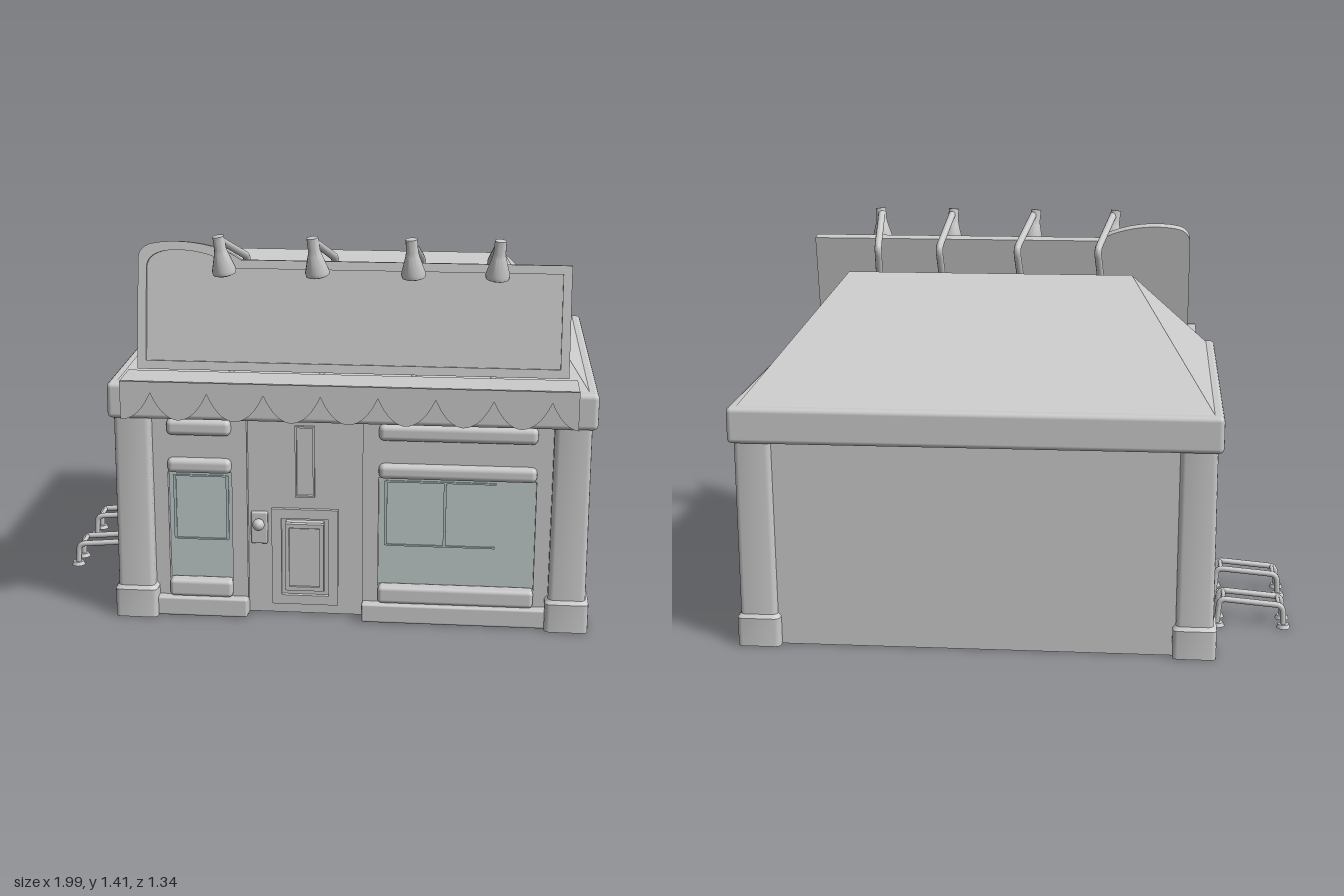
import * as THREE from 'three';
import { toCreasedNormals } from 'three/addons/utils/BufferGeometryUtils.js';
import { RoundedBoxGeometry } from 'three/addons/geometries/RoundedBoxGeometry.js';

const grey = new THREE.MeshStandardMaterial({ color: 0xcccccc });
const thin = new THREE.MeshStandardMaterial({ color: 0xcccccc, side: THREE.DoubleSide });
const glass = new THREE.MeshStandardMaterial({ color: 0xc2cccc });
const glint = new THREE.MeshStandardMaterial({ color: 0xaec2c2 });

function add(parent, name, geo, x = 0, y = 0, z = 0, mat = grey) {
  const m = new THREE.Mesh(geo, mat);
  m.name = name;
  m.position.set(x, y, z);
  parent.add(m);
  return m;
}

// box given by its limits; r > 0 rounds the edges
function box(parent, name, x0, x1, y0, y1, z0, z1, r = 0, mat = grey) {
  const s = [x1 - x0, y1 - y0, z1 - z0];
  const geo = r ? new RoundedBoxGeometry(...s, 2, r) : new THREE.BoxGeometry(...s);
  return add(parent, name, geo, (x0 + x1) / 2, (y0 + y1) / 2, (z0 + z1) / 2, mat);
}

// pipe through points, with rounded bends
function pipe(pts, radius, bend) {
  const v = pts.map(p => new THREE.Vector3(...p));
  const path = new THREE.CurvePath();
  let last = v[0];
  for (let i = 1; i < v.length - 1; i++) {
    const a = v[i].clone().add(v[i - 1].clone().sub(v[i]).setLength(bend));
    const b = v[i].clone().add(v[i + 1].clone().sub(v[i]).setLength(bend));
    path.add(new THREE.LineCurve3(last, a));
    path.add(new THREE.QuadraticBezierCurve3(a, v[i], b));
    last = b;
  }
  path.add(new THREE.LineCurve3(last, v[v.length - 1]));
  return new THREE.TubeGeometry(path, 48, radius, 10);
}

// open-ended square column with rounded corners; rings are [y, half width]
function column(rings, r) {
  const pos = [], idx = [], n = 16;
  for (const [y, h] of rings)
    for (let c = 0; c < 4; c++)
      for (let k = 0; k < 4; k++) {
        const t = (c + k / 3) * Math.PI / 2;
        const sx = c === 0 || c === 3 ? 1 : -1, sz = c < 2 ? 1 : -1;
        pos.push(sx * (h - r) + r * Math.cos(t), y, sz * (h - r) + r * Math.sin(t));
      }
  for (let j = 0; j < rings.length - 1; j++)
    for (let i = 0; i < n; i++) {
      const a = j * n + i, c = j * n + (i + 1) % n;
      idx.push(a, a + n, c, c, a + n, c + n);
    }
  const g = new THREE.BufferGeometry();
  g.setAttribute('position', new THREE.Float32BufferAttribute(pos, 3));
  g.setIndex(idx);
  return toCreasedNormals(g, 0.6);
}

const rectPath = (x0, x1, y0, y1, P = THREE.Shape) =>
  new P([[x0, y0], [x1, y0], [x1, y1], [x0, y1]].map(p => new THREE.Vector2(...p)));

// rectangular frame lying in the xy plane
function frame(x0, x1, y0, y1, w, depth) {
  const s = rectPath(x0, x1, y0, y1);
  s.holes.push(rectPath(x0 + w, x1 - w, y0 + w, y1 - w, THREE.Path));
  return new THREE.ExtrudeGeometry(s, { depth, bevelEnabled: false });
}

function signShape(i) {
  const s = new THREE.Shape();
  s.moveTo(-0.61 + i, i);
  s.lineTo(0.885 - i, i);
  s.lineTo(0.885 - i, 0.385 - i);
  s.lineTo(-0.25 - i, 0.385 - i);
  s.bezierCurveTo(-0.34, 0.45 - i, -0.5, 0.455 - i, -0.57 + i, 0.435 - i);
  s.quadraticCurveTo(-0.61 + i, 0.42 - i, -0.61 + i, 0.38 - i);
  return s;
}

// shop-front bay: wall with window hole, glass, rails and plinth
function makeBay(x0, x1, w0, w1, glassEnd, mullions) {
  const g = new THREE.Group();
  g.name = 'shopFrontBay';
  const wall = rectPath(x0, x1, 0, 0.76);
  wall.holes.push(rectPath(w0, w1, 0.13, 0.54, THREE.Path));
  add(g, 'bayWall', new THREE.ExtrudeGeometry(wall, { depth: 0.04, bevelEnabled: false }), 0, 0, 0.45);
  box(g, 'windowGlass', w0, w1, 0.13, 0.54, 0.455, 0.465, 0, glass);
  box(g, 'plinth', x0, x1, 0, 0.07, 0.47, 0.525, 0.008);
  box(g, 'sill', w0, w1, 0.07, 0.135, 0.46, 0.515, 0.015);
  box(g, 'lintel', w0, w1, 0.54, 0.595, 0.46, 0.515, 0.02);
  box(g, 'topRail', w0, w1, 0.68, 0.74, 0.46, 0.515, 0.02);
  for (const x of mullions) box(g, 'glazingBar', x - 0.005, x + 0.005, 0.28, 0.52, 0.462, 0.47, 0, glint);
  for (const y of [0.28, 0.52]) box(g, 'glazingBar', w0 + 0.025, glassEnd, y - 0.003, y + 0.003, 0.462, 0.47, 0, glint);
  return g;
}

function makeDoor() {
  const g = new THREE.Group();
  g.name = 'door';
  box(g, 'doorBlock', -0.235, 0.178, 0.002, 0.76, 0.03, 0.46);
  add(g, 'slotWindow', frame(-0.065, 0.005, 0.45, 0.715, 0.006, 0.012), 0, 0, 0.46);
  add(g, 'panelFrame', frame(-0.15, 0.09, 0.04, 0.405, 0.035, 0.02), 0, 0, 0.455);
  const raised = new THREE.CylinderGeometry(0.08, 0.1, 0.025, 4, 1).rotateY(Math.PI / 4).rotateX(Math.PI / 2).scale(1, 1.95, 1);
  add(g, 'raisedPanel', raised.toNonIndexed(), -0.03, 0.225, 0.47).geometry.computeVertexNormals();
  add(g, 'panelBorder', frame(-0.1, 0.04, 0.1, 0.355, 0.015, 0.02), 0, 0, 0.472);
  box(g, 'handlePlate', -0.225, -0.165, 0.27, 0.39, 0.455, 0.475, 0.006);
  add(g, 'knob', new THREE.SphereGeometry(0.022, 16, 12), -0.195, 0.35, 0.495);
  return g;
}

// sliding window on the +x wall, built facing +z and turned
function makeSideWindow() {
  const g = new THREE.Group();
  g.name = 'sideWindow';
  for (const y of [0.247, 0.617]) box(g, 'rail', -0.35, 0.28, y - 0.023, y + 0.023, -0.01, 0.05, 0.018);
  for (const x of [-0.32, 0.25]) box(g, 'post', x - 0.02, x + 0.02, 0.25, 0.61, -0.01, 0.035, 0.016);
  [[-0.3, -0.04, 0.016], [-0.04, 0.23, 0.004]].forEach(([a, b, z], i) => {
    add(g, 'sash', frame(a, b, 0.268, 0.597, 0.025, 0.012), 0, 0, z);
    box(g, 'pane', a + 0.02, b - 0.02, 0.29, 0.575, z - 0.005, z + 0.004, 0, i ? grey : glass);
  });
  add(g, 'paneEdge', frame(-0.272, -0.068, 0.3, 0.57, 0.01, 0.003), 0, 0, 0.019, glint);
  g.rotation.y = Math.PI / 2;
  g.position.x = 0.93;
  return g;
}

function makeLamp(headX, bendX) {
  const g = new THREE.Group();
  g.name = 'signLamp';
  const t = z => headX + (bendX - headX) * (0.54 - z) / 0.26;
  add(g, 'lampArm', pipe([[t(0.46), 0.9, 0.46], [t(0.28), 1.285, 0.285], [headX, 1.39, 0.55]], 0.014, 0.035));
  const profile = [[0, 0.065], [0.02, 0.065], [0.021, 0.02], [0.024, 0.005], [0.042, -0.055], [0.04, -0.068], [0.028, -0.073], [0, -0.073]];
  const head = add(g, 'lampHead', toCreasedNormals(new THREE.LatheGeometry(profile.map(p => new THREE.Vector2(...p)).reverse(), 16), 0.7), headX, 1.34, 0.54);
  head.rotation.set(0.12, 0, (headX - bendX) * -2.5);
  return g;
}

function makeRack(z) {
  const g = new THREE.Group();
  g.name = 'bikeRack';
  for (const dz of [-0.045, 0.045]) {
    add(g, 'hoop', pipe([[-0.97, 0, dz], [-0.965, 0.085, dz], [-0.735, 0.105, dz], [-0.725, 0, dz]], 0.011, 0.025));
    for (const x of [-0.97, -0.73]) add(g, 'foot', new THREE.CylinderGeometry(0.02, 0.026, 0.014, 14), x, 0.007, dz);
  }
  for (const [x, y] of [[-0.95, 0.086], [-0.75, 0.103]])
    add(g, 'crossBar', new THREE.CylinderGeometry(0.008, 0.008, 0.09, 10).rotateX(Math.PI / 2), x, y, 0);
  g.position.z = z;
  return g;
}

export function createModel() {
  const model = new THREE.Group();
  model.name = 'shop';

  // walls
  box(model, 'backWall', -0.66, 0.93, 0, 0.76, -0.635, -0.615);
  for (const [a, b, out] of [[-0.67, -0.65, -0.674], [0.91, 0.93, 0.934]]) {
    box(model, 'sideWall', a, b, 0, 0.76, -0.62, 0.47);
    box(model, 'wallPlinth', Math.min(a, out), Math.max(b, out), 0, 0.215, -0.55, 0.43);
  }
  for (const x of [-0.637, 0.908]) for (const z of [0.473, -0.593])
    add(model, 'pillar', column([[0, 0.077], [0.105, 0.077], [0.118, 0.066], [0.76, 0.064]], 0.018), x, 0, z);

  // front
  model.add(makeBay(-0.6, -0.235, -0.52, -0.29, -0.31, [-0.5, -0.31]));
  model.add(makeBay(0.178, 0.87, 0.235, 0.79, 0.65, [0.26, 0.47]));
  model.add(makeDoor(), makeSideWindow());

  // fascia and hipped roof
  box(model, 'fascia', -0.72, 0.99, 0.75, 0.88, -0.675, 0.552, 0.018);
  const roof = new THREE.BufferGeometry();
  roof.setAttribute('position', new THREE.Float32BufferAttribute([
    -0.69, 0.875, 0.52, 0.96, 0.875, 0.52, 0.96, 0.875, -0.65, -0.69, 0.875, -0.65, -0.39, 1.25, -0.06, 0.66, 1.25, -0.06], 3));
  roof.setIndex([0, 1, 5, 0, 5, 4, 1, 2, 5, 2, 3, 4, 2, 4, 5, 3, 0, 4]);
  add(model, 'roof', toCreasedNormals(roof, 0.1));

  // awning shelf with scalloped valance
  box(model, 'awningShelf', -0.645, 0.915, 0.88, 0.92, 0.515, 0.66);
  const v = new THREE.Shape();
  v.moveTo(-0.645, 0.92);
  v.lineTo(-0.645, 0.785);
  for (let k = 0; k < 8; k++) {
    const c = -0.54 + 0.195 * k;
    v.lineTo(c - 0.0975, 0.785);
    v.quadraticCurveTo(c - 0.04, 0.79, c, 0.88);
    v.quadraticCurveTo(c + 0.04, 0.79, c + 0.0925, 0.785);
  }
  v.lineTo(0.915, 0.785);
  v.lineTo(0.915, 0.92);
  add(model, 'valance', new THREE.ShapeGeometry(v), 0, 0, 0.668, thin);

  // leaning sign board
  const sign = new THREE.Group();
  sign.name = 'signBoard';
  const rim = signShape(0);
  rim.holes.push(signShape(0.03));
  add(sign, 'signPanel', new THREE.ExtrudeGeometry(signShape(0.004), { depth: 0.035, bevelEnabled: false }));
  add(sign, 'signRim', new THREE.ExtrudeGeometry(rim, { depth: 0.047, bevelEnabled: false }));
  sign.position.set(0, 0.92, 0.48);
  sign.rotation.x = -0.165;
  model.add(sign);

  for (const [h, b] of [[-0.305, -0.25], [0.015, 0.065], [0.345, 0.37], [0.635, 0.61]]) model.add(makeLamp(h, b));
  for (const z of [-0.3, 0.02]) model.add(makeRack(z));
  return model;
}
